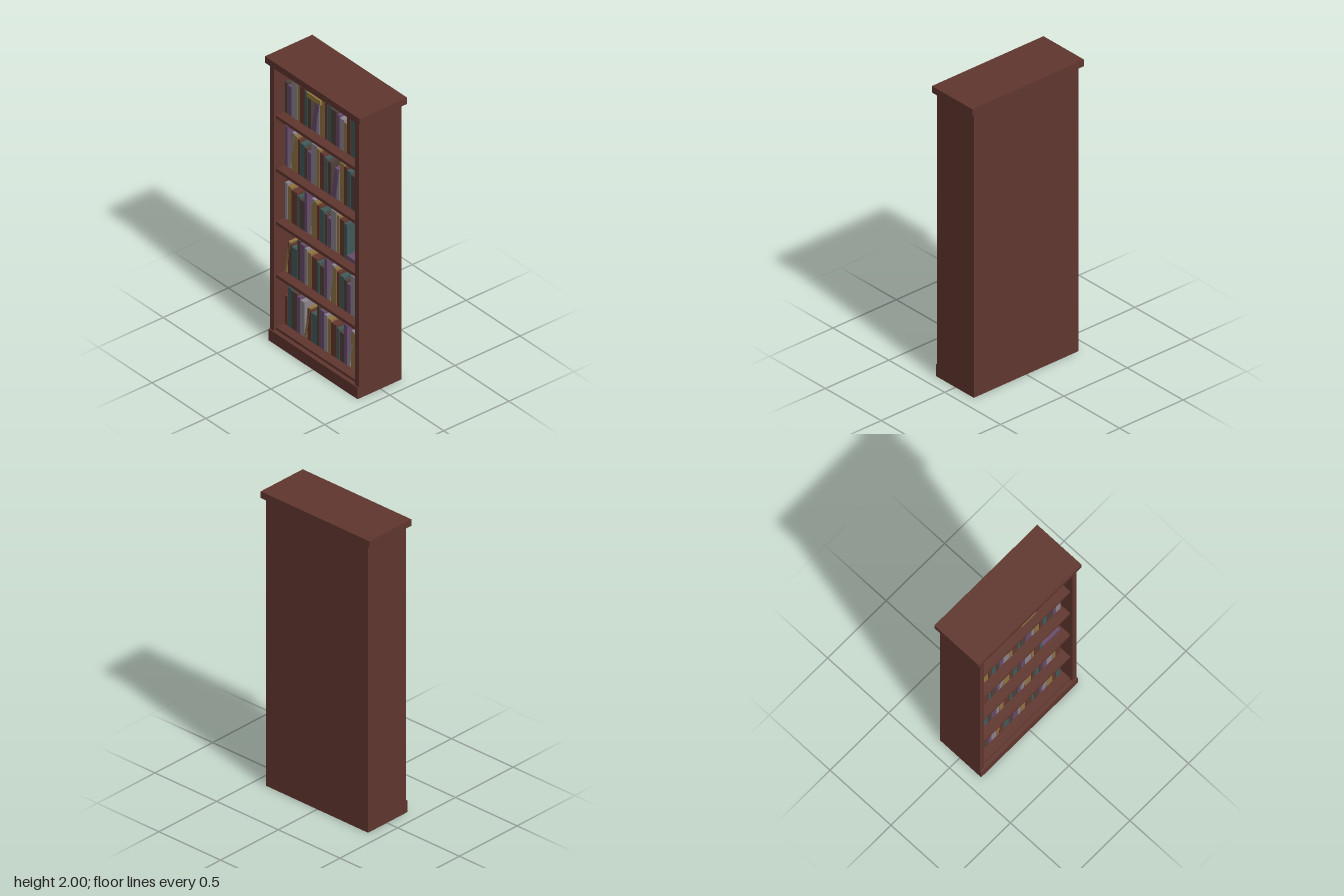
import * as THREE from 'three';

const paint = (name, color) => {
  const m = new THREE.MeshStandardMaterial({ color });
  m.name = name;
  return m;
};

export function createModel() {
  const model = new THREE.Group();
  model.name = 'bookcase';
  const wood = paint('mahogany wood', 0x60362e);
  const brass = paint('brass', 0x947a3c);
  const covers = [
    paint('red cover', 0x64382f), paint('teal cover', 0x415958),
    paint('dark brown cover', 0x4f403a), paint('purple cover', 0x684b6b),
    paint('grey cover', 0x8b838c), paint('gold cover', 0x8f7341),
  ];

  // Box given by its lower and upper corners
  const box = (name, mat, [x0, y0, z0], [x1, y1, z1], parent = model) => {
    const mesh = new THREE.Mesh(new THREE.BoxGeometry(x1 - x0, y1 - y0, z1 - z0), mat);
    mesh.position.set((x0 + x1) / 2, (y0 + y1) / 2, (z0 + z1) / 2);
    mesh.name = name;
    parent.add(mesh);
    return mesh;
  };

  // Carcass
  box('plinth', wood, [-0.413, 0, -0.163], [0.413, 0.081, 0.176]);
  box('cornice', wood, [-0.44, 1.955, -0.182], [0.44, 2, 0.182]);
  box('leftSide', wood, [0.377, 0.081, -0.163], [0.413, 1.955, 0.166]);
  box('rightSide', wood, [-0.413, 0.081, -0.163], [-0.377, 1.955, 0.166]);
  box('backPanel', wood, [-0.377, 0.081, -0.163], [0.377, 1.955, -0.145]);
  box('plaque', brass, [-0.064, 1.901, 0.162], [0.064, 1.934, 0.174]);

  // Five shelves, each with a row of books in repeating sizes and colours
  const widths = [0.0265, 0.036, 0.053, 0.0265, 0.0416];
  const bookFront = 0.085, bookBack = -0.13, gap = 0.0015;
  for (let k = 0; k < 5; k++) {
    const top = 0.098 + k * 0.375;
    box('shelf', wood, [-0.377, k ? top - 0.022 : 0.081, -0.145], [0.377, top, 0.148]);

    const row = new THREE.Group();
    row.name = 'bookRow';
    model.add(row);
    const count = k === 2 ? 16 : 20;
    let x = -0.373;
    for (let i = 0; i < count; i++) {
      const w = widths[i % 5];
      const h = 0.28 - 0.0125 * ((i + 13 - 2 * k) % 7);
      const mat = covers[(i + 6 - k) % 6];
      const leans = (i + 5 * k + 6) % 11 === 0;
      if (leans) {
        // Tilted about its foot
        const book = new THREE.Group();
        book.name = 'leaningBook';
        book.position.set(x + w / 2 - 0.006, top + 0.002, 0);
        book.rotation.z = -0.165;
        const half = w * 0.36;
        box('book', mat, [-half, 0, bookBack], [half, h, bookFront], book);
        row.add(book);
      } else {
        box('book', mat, [x + gap, top, bookBack], [x + w - gap, top + h, bookFront], row);
      }
      x += w;
    }
    // Book lying flat in the gap of the middle shelf
    if (k === 2) box('flatBook', covers[3], [0.205, top, -0.11], [0.355, top + 0.027, bookFront], row);
  }
  return model;
}
